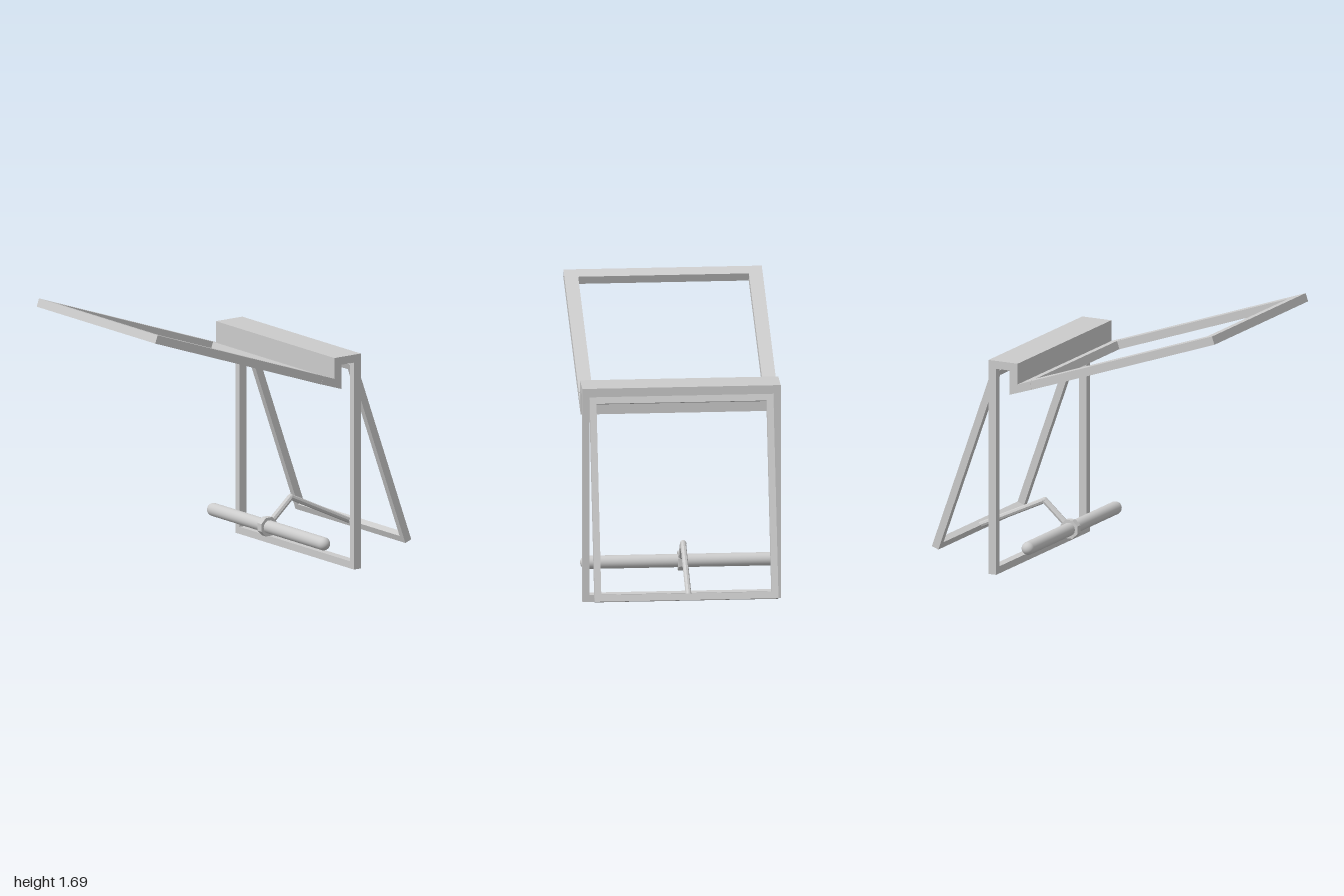
import * as THREE from 'three';

const material = new THREE.MeshStandardMaterial({ color: 0xcccccc, flatShading: true });
const smooth = new THREE.MeshStandardMaterial({ color: 0xcccccc });
const HALF = 0.61; // half width of the stand and canopy

function makeShape(points) {
  return new THREE.Shape(points.map(([x, y]) => new THREE.Vector2(x, y)));
}

// Flat outline (distance along slope, z) thickened and laid along the line from a to b.
function slopedPlate(name, shape, thickness, a, b) {
  const geo = new THREE.ExtrudeGeometry(shape, { depth: thickness, bevelEnabled: false });
  geo.translate(0, 0, -thickness / 2);
  const along = new THREE.Vector3(b[0] - a[0], b[1] - a[1], 0).normalize();
  const across = new THREE.Vector3(0, 0, 1);
  const normal = along.clone().cross(across);
  geo.applyMatrix4(new THREE.Matrix4().makeBasis(along, across, normal).setPosition(a[0], a[1], 0));
  const mesh = new THREE.Mesh(geo, material);
  mesh.name = name;
  return mesh;
}

// Rectangular outline with a rectangular opening.
function frameShape(length, half, bar) {
  const shape = makeShape([[0, -half], [length, -half], [length, half], [0, half]]);
  const s = bar, e = length - bar, h = half - bar;
  shape.holes.push(makeShape([[s, -h], [s, h], [e, h], [e, -h]]));
  return shape;
}

// Round bar between two points in the xy plane.
function rod(name, a, b, radius, z) {
  const dx = b[0] - a[0], dy = b[1] - a[1];
  const mesh = new THREE.Mesh(new THREE.CylinderGeometry(radius, radius, Math.hypot(dx, dy), 8), material);
  mesh.position.set((a[0] + b[0]) / 2, (a[1] + b[1]) / 2, z);
  mesh.rotation.z = Math.atan2(dy, dx) - Math.PI / 2;
  mesh.name = name;
  return mesh;
}

function box(name, w, h, d, x, y, z) {
  const mesh = new THREE.Mesh(new THREE.BoxGeometry(w, h, d), material);
  mesh.position.set(x, y, z);
  mesh.name = name;
  return mesh;
}

export function createModel() {
  const model = new THREE.Group();
  model.name = 'framedStand';

  // Upright frame: two posts and a ground bar, closed at the top by the cap
  const upright = new THREE.Group();
  upright.name = 'uprightFrame';
  for (const side of [-1, 1]) {
    upright.add(box(side > 0 ? 'frontPost' : 'backPost', 0.053, 1.305, 0.042, 0.546, 0.6525, side * (HALF - 0.021)));
  }
  upright.add(box('groundBar', 0.053, 0.045, 2 * HALF - 0.084, 0.546, 0.0225, 0));
  model.add(upright);

  // Canopy: open-ended sloping frame that joins the hooked cap
  const inner = 0.525, reach = 1.34;
  const rails = makeShape([
    [0, -HALF], [reach, -HALF], [reach, -inner], [0.082, -inner],
    [0.082, inner], [reach, inner], [reach, HALF], [0, HALF],
  ]);
  model.add(slopedPlate('canopyRails', rails, 0.053, [-0.99, 1.665], [0.277, 1.228]));

  // Cap: channel over the posts with a drop lip and the canopy's near bar
  const capProfile = makeShape([
    [0.572, 1.305], [0.572, 1.355], [0.37, 1.355], [0.37, 1.224],
    [0.286, 1.253], [0.269, 1.203], [0.425, 1.152], [0.425, 1.305],
  ]);
  const capGeo = new THREE.ExtrudeGeometry(capProfile, { depth: 2 * HALF, bevelEnabled: false });
  capGeo.translate(0, 0, -HALF);
  const cap = new THREE.Mesh(capGeo, material);
  cap.name = 'hookedCap';
  model.add(cap);

  // Swinging frame leaning out from the top of the posts
  model.add(slopedPlate('leaningFrame', frameShape(1.258, 0.565, 0.041), 0.048, [0.968, 0.107], [0.545, 1.291]));

  // Bent link from the leaning frame to the roller
  const z = -0.015, knee = [0.5, 0.342], hub = [0.32, 0.183];
  const link = new THREE.Group();
  link.name = 'bentLink';
  link.add(rod('longLink', knee, [0.955, 0.128], 0.018, z));
  link.add(rod('shortLink', [0.36, 0.218], knee, 0.02, z));
  const joint = new THREE.Mesh(new THREE.SphereGeometry(0.02, 12, 8), smooth);
  joint.position.set(knee[0], knee[1], z);
  joint.name = 'linkKnee';
  link.add(joint);
  model.add(link);

  // Roller with rounded ends, held by an eight-sided collar
  const roller = new THREE.Mesh(new THREE.CapsuleGeometry(0.041, 1.13, 8, 24), smooth);
  roller.rotation.x = Math.PI / 2;
  roller.position.set(hub[0], hub[1], 0);
  roller.name = 'roller';
  model.add(roller);
  const collar = new THREE.Mesh(new THREE.CylinderGeometry(0.063, 0.063, 0.04, 8), material);
  collar.rotation.set(Math.PI / 2, Math.PI / 8, 0);
  collar.position.set(hub[0], hub[1], z);
  collar.name = 'rollerCollar';
  model.add(collar);

  return model;
}
